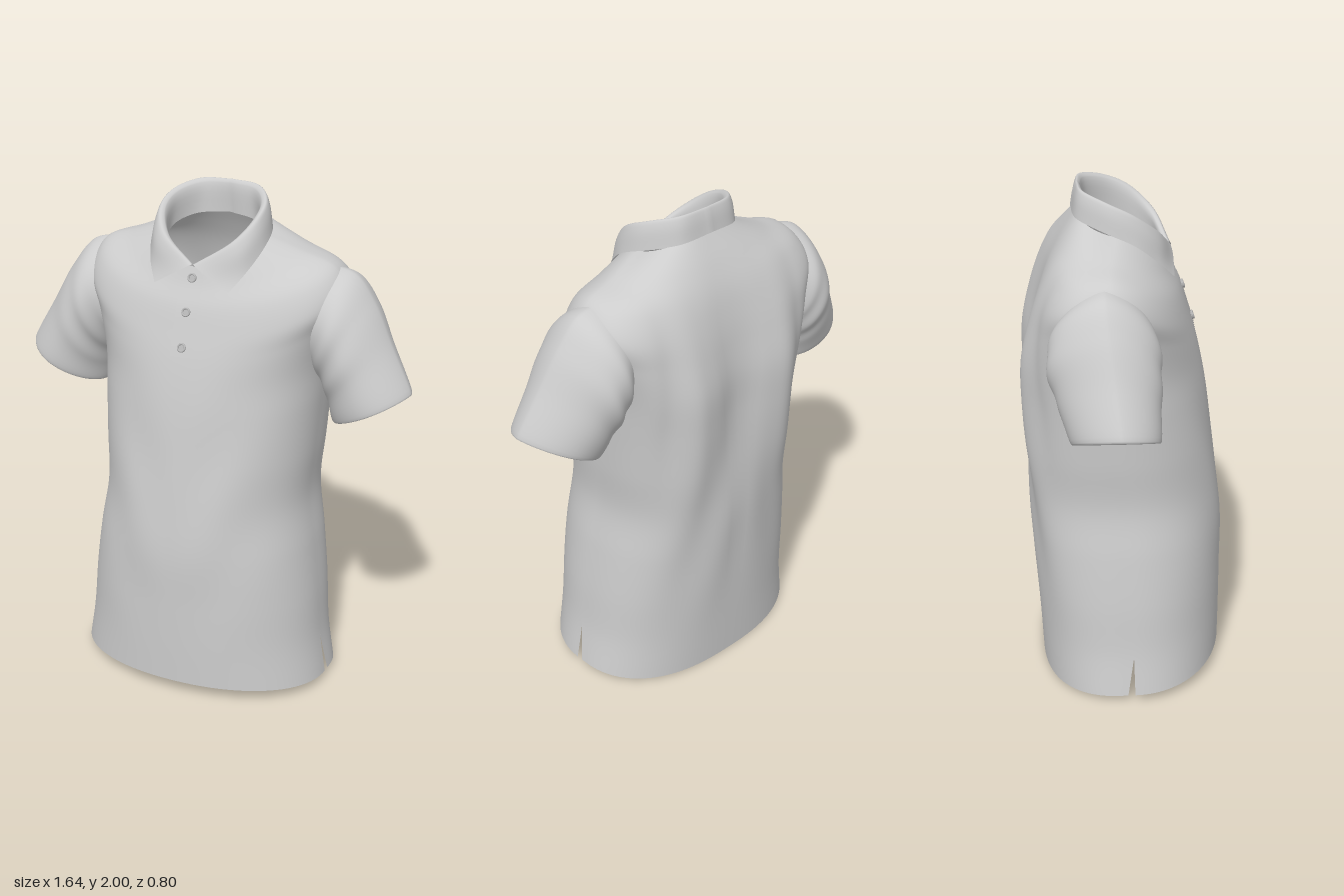
import * as THREE from 'three';
import { mergeVertices } from 'three/addons/utils/BufferGeometryUtils.js';

const V = (x, y, z) => new THREE.Vector3(x, y, z);
const gauss = (v, c, s) => Math.exp(-(((v - c) / s) ** 2));

// Smooth sheet through a row of key curves: keyPoints(v) gives one point per key curve.
function loft(keyPoints, nu, nv, adjust = () => {}, isHole = () => false) {
  const points = [], index = [];
  for (let j = 0; j <= nv; j++) {
    const curve = new THREE.CatmullRomCurve3(keyPoints(j / nv));
    for (let i = 0; i <= nu; i++) {
      const p = curve.getPoint(i / nu);
      adjust(p, j / nv, i / nu);
      points.push(p);
    }
  }
  for (let j = 0; j < nv; j++) {
    for (let i = 0; i < nu; i++) {
      const a = j * (nu + 1) + i, b = a + nu + 1;
      if (!isHole(points[a])) index.push(a, a + 1, b, b, a + 1, b + 1);
    }
  }
  const g = new THREE.BufferGeometry().setFromPoints(points);
  g.setIndex(index);
  return g;
}

function joinPanels(...panels) {
  const pos = [];
  for (const p of panels) pos.push(...p.toNonIndexed().attributes.position.array);
  const g = new THREE.BufferGeometry();
  g.setAttribute('position', new THREE.Float32BufferAttribute(pos, 3));
  const merged = mergeVertices(g, 1e-4);
  merged.computeVertexNormals();
  return merged;
}

// Body rings: half width, front y, front z, side y, side z, back y, back z, back roundness
const rings = [
  [0.527, 0.055, 0.40, 0.03, 0.03, 0.0, -0.335, 0.8],
  [0.500, 0.22, 0.402, 0.20, 0.025, 0.18, -0.345, 0.8],
  [0.482, 0.40, 0.402, 0.40, 0.02, 0.40, -0.358, 0.78],
  [0.456, 0.60, 0.40, 0.60, 0.01, 0.60, -0.370, 0.76],
  [0.425, 0.80, 0.38, 0.80, 0.0, 0.80, -0.385, 0.74],
  [0.437, 1.00, 0.355, 1.00, -0.02, 1.00, -0.397, 0.72],
  [0.448, 1.18, 0.33, 1.20, -0.04, 1.20, -0.403, 0.7],
  [0.460, 1.30, 0.308, 1.37, -0.06, 1.36, -0.397, 0.64],
  [0.500, 1.41, 0.282, 1.55, -0.07, 1.50, -0.367, 0.62],
  [0.535, 1.50, 0.255, 1.66, -0.07, 1.61, -0.335, 0.62],
  [0.490, 1.60, 0.222, 1.742, -0.065, 1.71, -0.298, 0.7],
  [0.360, 1.675, 0.185, 1.79, -0.055, 1.80, -0.25, 0.78],
  [0.215, 1.74, 0.16, 1.845, -0.03, 1.90, -0.185, 0.8],
];

function bodyPoint([w, yf, zf, ys, zs, yb, zb, round], t) {
  const c = Math.cos(t), s = Math.sin(t), front = s >= 0;
  const k = front ? 0.94 : round;
  const sn = Math.abs(s) < 1e-6 ? 0 : Math.abs(s) ** k;
  const x = w * Math.sign(c) * Math.abs(c) ** k;
  return V(x, ys + ((front ? yf : yb) - ys) * sn ** 1.4, zs + ((front ? zf : zb) - zs) * sn);
}

// Soft cloth folds, and the side slits at the hem
function bodyFolds(back) {
  return (p, v) => {
    const edge = Math.sin(Math.PI * v), ax = Math.abs(p.x);
    if (back) {
      const high = gauss(p.y, 1.25, 0.38);
      p.z += edge * high * (0.05 * gauss(ax, 0, 0.11) - 0.016 * gauss(ax, 0.24, 0.06) + 0.012 * gauss(ax, 0.34, 0.04));
      p.z += edge * 0.008 * Math.sin(22 * ax + 5 * p.y) * gauss(p.y, 0.75, 0.35);
      p.z -= 0.03 * Math.max(0, (0.19 - p.y) / 0.17) * (1 - edge) ** 4;
    } else {
      p.z += edge ** 2 * 0.008 * Math.sin(14 * ax - 9 * p.y) * gauss(p.y, 0.85, 0.4) * Math.min(1, ax / 0.2);
    }
  };
}

// Open armhole behind each sleeve
const inArmhole = (p) => Math.abs(p.x) > 0.38 && ((p.y - 1.52) / 0.13) ** 2 + ((p.z + 0.085) / 0.12) ** 2 < 1;

// Sleeve rings: top x, top y, bottom x, bottom y, centre z, z radius
const sleeveRings = [
  [0.445, 1.742, 0.41, 1.34, -0.085, 0.165],
  [0.56, 1.716, 0.43, 1.315, -0.095, 0.203],
  [0.645, 1.615, 0.458, 1.265, -0.095, 0.207],
  [0.725, 1.465, 0.482, 1.20, -0.083, 0.186],
  [0.818, 1.285, 0.505, 1.13, -0.068, 0.16],
  [0.788, 1.305, 0.518, 1.15, -0.07, 0.148],
];

function sleeveGeometry(side) {
  // the outer half narrows to a soft ridge that leans forward at the cuff
  const keys = (v) => sleeveRings.map(([tx, ty, bx, by, zc, rz], i) => {
    const a = v * Math.PI * 2, c = Math.cos(a), s = Math.sin(a), h = (1 + c) / 2;
    const ridge = Math.abs(s) ** (c > 0 ? 0.35 : 0);
    return V(side * (bx + (tx - bx) * h), by + (ty - by) * h, zc + side * rz * s * ridge + Math.min(i, 4) * 0.009 * h);
  });
  // creases gather near the underarm
  const crease = (p, v, u) => {
    const low = (1 - Math.cos(v * Math.PI * 2)) / 2;
    p.z += 0.008 * low * Math.sin(v * Math.PI * 2) * Math.sin(u * 26 + v * 4) * Math.sin(Math.PI * Math.min(1, u / 0.75));
  };
  return joinPanels(loft(keys, 40, 64, crease));
}

// Collar half-paths run from back centre to front centre
const collarPaths = [
  [[0, 1.87, -0.165], [0.125, 1.86, -0.125], [0.183, 1.83, -0.03], [0.165, 1.785, 0.06], [0.10, 1.745, 0.13], [0, 1.72, 0.155]],
  [[0, 1.985, -0.163], [0.108, 1.98, -0.143], [0.176, 1.955, -0.06], [0.184, 1.912, 0.03], [0.13, 1.835, 0.112], [0, 1.745, 0.165]],
  [[0, 2.0, -0.175], [0.12, 1.995, -0.158], [0.194, 1.968, -0.068], [0.204, 1.923, 0.032], [0.146, 1.845, 0.125], [0.003, 1.752, 0.178]],
  [[0, 1.975, -0.187], [0.13, 1.967, -0.168], [0.21, 1.937, -0.068], [0.22, 1.888, 0.038], [0.172, 1.806, 0.136], [0.04, 1.733, 0.19]],
  [[0, 1.905, -0.2], [0.138, 1.893, -0.178], [0.222, 1.86, -0.07], [0.236, 1.815, 0.035], [0.205, 1.74, 0.125], [0.155, 1.665, 0.192]],
].map((path) => new THREE.CatmullRomCurve3(path.map((p) => V(...p))));

function collarGeometry() {
  const half = (side) => loft((v) => collarPaths.map((c) => {
    const p = c.getPoint(side > 0 ? v : 1 - v);
    p.x *= side;
    return p;
  }), 20, 48);
  return joinPanels(half(1), half(-1));
}

export function createModel() {
  const shirt = new THREE.Group();
  shirt.name = 'poloShirt';
  const cloth = new THREE.MeshStandardMaterial({ color: 0xcccccc, side: THREE.DoubleSide });
  cloth.name = 'light grey cloth';
  const buttonGrey = new THREE.MeshStandardMaterial({ color: 0xb8b8b8 });
  buttonGrey.name = 'button grey';
  const add = (name, geometry) => {
    const mesh = new THREE.Mesh(geometry, cloth);
    mesh.name = name;
    shirt.add(mesh);
  };

  // Front and back panels share their side seams above the slits
  const panel = (start, back) => loft((v) => rings.map((r) => bodyPoint(r, start - v * Math.PI)), 90, 64, bodyFolds(back), inArmhole);
  add('body', joinPanels(panel(Math.PI, false), panel(2 * Math.PI, true)));

  add('leftSleeve', sleeveGeometry(1));
  add('rightSleeve', sleeveGeometry(-1));
  add('collar', collarGeometry());

  // Placket strip follows the front centre line
  const frontLine = new THREE.CatmullRomCurve3(rings.slice(7).map((r) => V(0, r[1], r[2])));
  const placket = loft((v) => frontLine.getPoints(40).filter((p) => p.y > 1.4 && p.y < 1.72)
    .map((p) => V(0.045 - v * 0.09, p.y, p.z + 0.002)), 20, 4);
  placket.computeVertexNormals();
  add('placket', placket);

  // Buttons: a disc with a raised rim, tilted to the chest
  for (const [y, z] of [[1.7, 0.178], [1.58, 0.232], [1.45, 0.272]]) {
    const button = new THREE.Group();
    button.name = 'button';
    const disc = new THREE.Mesh(new THREE.CylinderGeometry(0.017, 0.017, 0.01, 24), buttonGrey);
    disc.name = 'buttonDisc';
    disc.rotation.x = Math.PI / 2;
    const rim = new THREE.Mesh(new THREE.TorusGeometry(0.0145, 0.004, 8, 24), buttonGrey);
    rim.name = 'buttonRim';
    rim.position.z = 0.005;
    button.add(disc, rim);
    button.position.set(0, y, z);
    button.rotation.x = -0.35;
    shirt.add(button);
  }
  return shirt;
}
